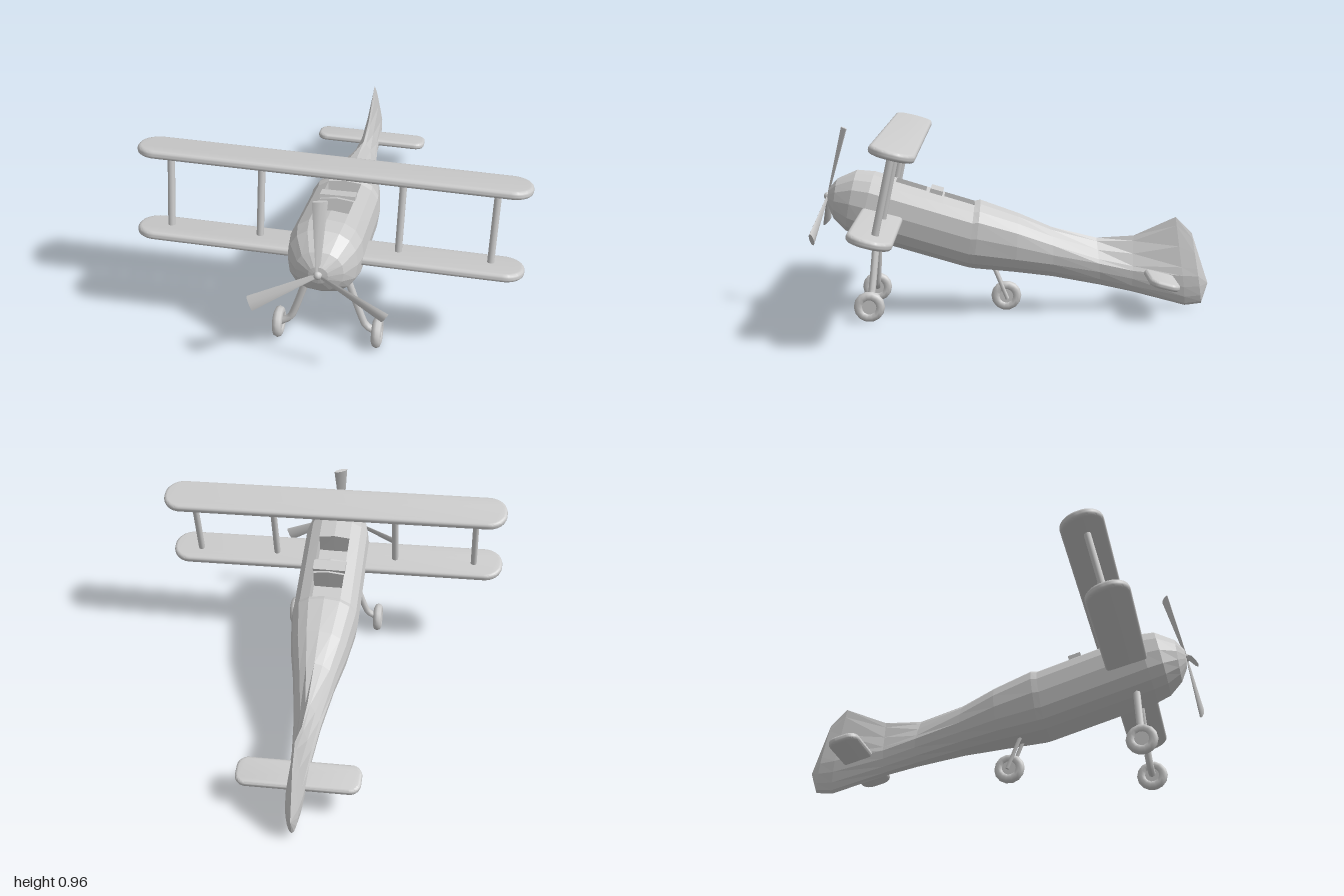
import * as THREE from 'three';
import { toCreasedNormals } from 'three/addons/utils/BufferGeometryUtils.js';

const flat = new THREE.MeshStandardMaterial({ color: 0xcccccc, flatShading: true, side: THREE.DoubleSide });
const smooth = new THREE.MeshStandardMaterial({ color: 0xcccccc });
const TILT = 0.25; // nose-up attitude
const ROLL = 0.02; // slight lean of the wings
const V = (x, y, z) => new THREE.Vector3(x, y, z);

function add(parent, name, geometry, material = smooth) {
  const mesh = new THREE.Mesh(geometry, material);
  mesh.name = name;
  parent.add(mesh);
  return mesh;
}

function rod(parent, name, a, b, r, sides = 10) {
  const mesh = add(parent, name, new THREE.CylinderGeometry(r, r, a.distanceTo(b), sides));
  mesh.position.copy(a).lerp(b, 0.5);
  mesh.quaternion.setFromUnitVectors(V(0, 1, 0), b.clone().sub(a).normalize());
}

// Flat plank with rounded ends and a soft rim
function plank(parent, name, span, chord, thick, radius, pos) {
  const bevel = thick * 0.42, w = span / 2 - bevel, h = chord / 2 - bevel, r = radius - bevel;
  const s = new THREE.Shape();
  s.absarc(w - r, h - r, r, 0, Math.PI / 2);
  s.absarc(-w + r, h - r, r, Math.PI / 2, Math.PI);
  s.absarc(-w + r, -h + r, r, Math.PI, Math.PI * 1.5);
  s.absarc(w - r, -h + r, r, Math.PI * 1.5, Math.PI * 2);
  const geo = new THREE.ExtrudeGeometry(s, {
    depth: thick - 2 * bevel, bevelSize: bevel, bevelThickness: bevel, bevelSegments: 3, curveSegments: 8,
  });
  geo.center().rotateX(-Math.PI / 2);
  const mesh = add(parent, name, toCreasedNormals(geo, 0.6));
  mesh.position.copy(pos);
  mesh.rotation.set(-TILT, 0, -ROLL);
}

// Body stations: zTop, yTop, zBottom, yBottom, half width, height of widest point (0-1), roundness of upper half
const cabin = [0.70, 0.725, 0.78, 0.395, 0.175, 0.5, 2.5];
const rear = [0.18, 0.566, 0.22, 0.23, 0.175, 0.5, 2.5];
const between = (z) => {
  const t = (cabin[0] - z) / (cabin[0] - rear[0]);
  return cabin.map((v, i) => v + (rear[i] - v) * t);
};
const stations = [
  [0.935, 0.64, 0.94, 0.55, 0.045, 0.5, 2.1],
  [0.89, 0.69, 0.91, 0.485, 0.11, 0.5, 2.2],
  [0.79, 0.733, 0.85, 0.425, 0.16, 0.5, 2.4],
  cabin, between(0.59), between(0.44), between(0.35), between(0.2),
  [0.17, 0.578, 0.21, 0.23, 0.175, 0.5, 2.5],
  [-0.02, 0.51, 0.0, 0.207, 0.148, 0.5, 2.3],
  [-0.19, 0.437, -0.2, 0.18, 0.108, 0.5, 2],
  [-0.42, 0.38, -0.44, 0.135, 0.07, 0.5, 1.1],
  [-0.61, 0.39, -0.6, 0.1, 0.052, 0.4, 0.95],
  [-0.825, 0.485, -0.88, 0.025, 0.042, 0.35, 1],
  [-0.91, 0.4, -0.965, 0.035, 0.032, 0.4, 1.1],
];
const SIDES = 16;

function ring([zt, yt, zb, yb, w, f, n]) {
  const pts = [];
  for (let i = 0; i < SIDES; i++) {
    const a = (i / SIDES) * Math.PI * 2, c = Math.cos(a), s = Math.sin(a);
    const e = 2 / (c > 0 ? n : Math.max(n, 1.9));
    const h = c > 0 ? f + (1 - f) * Math.pow(c, e) : f - f * Math.pow(-c, e);
    pts.push(V(Math.sign(s) * w * Math.pow(Math.abs(s), e), yb + (yt - yb) * h, zb + (zt - zb) * h));
  }
  return pts;
}

function bodyGeometry() {
  const pos = [];
  const tri = (...p) => p.forEach((v) => pos.push(v.x, v.y, v.z));
  const quad = (a, b, c, d) => { tri(a, b, c); tri(a, c, d); };
  const rings = stations.map(ring);
  const cockpits = [4, 6];
  for (let s = 0; s < rings.length - 1; s++) {
    const A = rings[s], B = rings[s + 1], open = cockpits.includes(s);
    for (let i = 0; i < SIDES; i++) {
      if (open && (i === 0 || i === SIDES - 1)) continue;
      const j = (i + 1) % SIDES;
      quad(A[i], A[j], B[j], B[i]);
    }
    if (!open) continue;
    // Sunken cockpit: four walls and a floor
    const rim = [A[15], A[0], A[1], B[1], B[0], B[15]];
    const low = rim.map((p, i) => V(p.x, (i < 3 ? A[1].y : B[1].y) - 0.1, p.z + 0.025));
    rim.forEach((p, i) => {
      const k = (i + 1) % 6;
      quad(p, low[i], low[k], rim[k]);
    });
    quad(low[0], low[2], low[3], low[5]);
  }
  // Nose tip and rudder trailing point
  const nose = V(0, 0.593, 0.945), tail = V(0, 0.14, -0.997);
  const first = rings[0], last = rings[rings.length - 1];
  for (let i = 0; i < SIDES; i++) {
    const j = (i + 1) % SIDES;
    tri(nose, first[j], first[i]);
    tri(tail, last[i], last[j]);
  }
  const geo = new THREE.BufferGeometry();
  geo.setAttribute('position', new THREE.Float32BufferAttribute(pos, 3));
  geo.computeVertexNormals();
  return geo;
}

function wheel(parent, name, x, z) {
  const g = new THREE.Group();
  g.name = name;
  const tyre = add(g, 'tyre', new THREE.TorusGeometry(0.053, 0.024, 8, 14));
  tyre.rotation.y = Math.PI / 2;
  const hub = add(g, 'wheelHub', new THREE.CylinderGeometry(0.045, 0.045, 0.03, 14));
  hub.rotation.z = Math.PI / 2;
  g.position.set(x, 0.081, z);
  parent.add(g);
}

export function createModel() {
  const model = new THREE.Group();
  model.name = 'biplane';
  add(model, 'fuselage', bodyGeometry(), flat);

  // Raised fairing behind the front cockpit
  const rest = add(model, 'headrest', new THREE.BoxGeometry(0.17, 0.035, 0.065), flat);
  rest.position.set(0, 0.622, 0.393);
  rest.rotation.x = -0.28;

  // Wings and tailplane
  plank(model, 'upperWing', 1.81, 0.21, 0.04, 0.098, V(0.003, 0.91, 0.553));
  plank(model, 'lowerWing', 1.81, 0.21, 0.04, 0.098, V(-0.003, 0.523, 0.658));
  plank(model, 'tailplane', 0.605, 0.155, 0.035, 0.055, V(0, 0.19, -0.738));

  for (const side of [-1, 1]) {
    // Wing struts
    for (const d of [0.325, 0.75]) {
      const x = side * d, drop = -x * ROLL;
      rod(model, 'wingStrut', V(x - 0.004, 0.52 + drop, 0.645), V(x + 0.004, 0.905 + drop, 0.562), 0.017);
    }
    // Main landing gear
    const path = new THREE.CatmullRomCurve3([
      V(side * 0.07, 0.45, 0.69), V(side * 0.105, 0.34, 0.697), V(side * 0.16, 0.17, 0.71), V(side * 0.185, 0.115, 0.716), V(side * 0.24, 0.081, 0.72),
    ]);
    add(model, 'landingLeg', new THREE.TubeGeometry(path, 16, 0.018, 8));
    wheel(model, 'mainWheel', side * 0.24, 0.72);
    // Rear wheel fork
    rod(model, 'rearFork', V(side * 0.033 - 0.005, 0.25, 0.11), V(side * 0.033 - 0.005, 0.07, 0.035), 0.01, 8);
  }
  wheel(model, 'rearWheel', -0.005, 0.04);

  // Propeller with three twisted blades widening to the tip
  const propeller = new THREE.Group();
  propeller.name = 'propeller';
  propeller.position.set(0, 0.6, 0.942);
  propeller.rotation.x = -TILT;
  add(propeller, 'propellerHub', new THREE.SphereGeometry(0.02, 10, 8));
  const blade = new THREE.CylinderGeometry(0.036, 0.009, 0.355, 8);
  blade.scale(1, 1, 0.3).rotateY(0.4).translate(0, 0.1775, 0);
  const bladeGeo = toCreasedNormals(blade, 0.9);
  for (let i = 0; i < 3; i++) {
    add(propeller, 'blade', bladeGeo).rotation.z = (i * Math.PI * 2) / 3;
  }
  model.add(propeller);
  return model;
}
